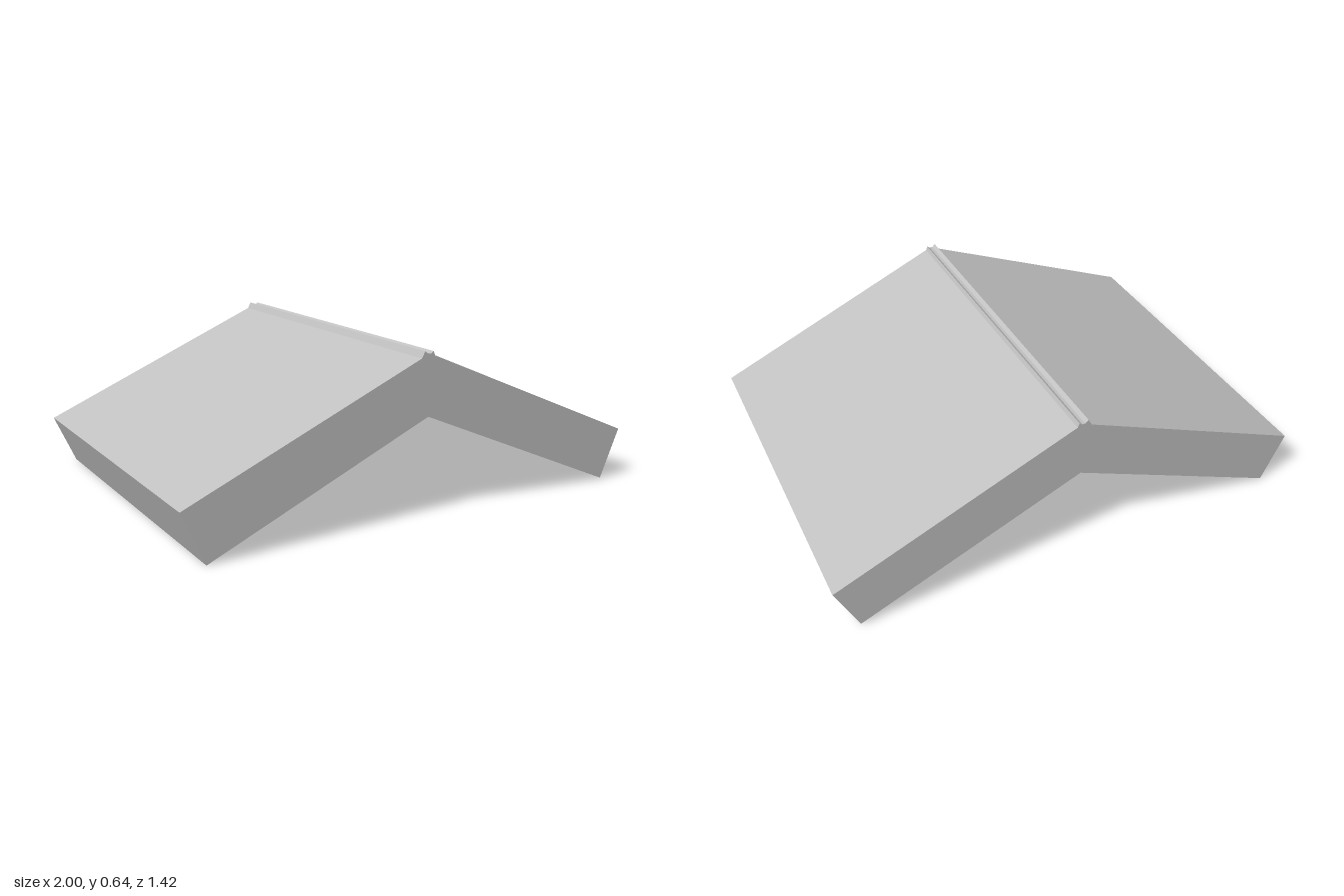
import * as THREE from 'three';

const DEPTH = 1.42;

export function createModel() {
  const group = new THREE.Group();
  group.name = 'gableRoof';
  const grey = new THREE.MeshStandardMaterial({ color: 0xc0c0c0 });
  grey.name = 'light grey';

  // Cross-section, anticlockwise from the left eave
  const profile = [
    [-1, 0.21], [-0.91, 0.005], [0, 0.4], [0.91, 0.01], [1, 0.213], // eaves and underside
    [0.025, 0.63], [0.018, 0.647], [0.006, 0.639],                  // right ridge lip
    [-0.006, 0.639], [-0.02, 0.65], [-0.034, 0.624],                // left ridge lip
  ];
  const shape = new THREE.Shape(profile.map(([x, y]) => new THREE.Vector2(x, y)));

  // Both slopes and the ridge run the full depth
  const geometry = new THREE.ExtrudeGeometry(shape, { depth: DEPTH, bevelEnabled: false });
  geometry.translate(0, -0.005, -DEPTH / 2);
  const roof = new THREE.Mesh(geometry, grey);
  roof.name = 'roofSlopes';
  group.add(roof);
  return group;
}
